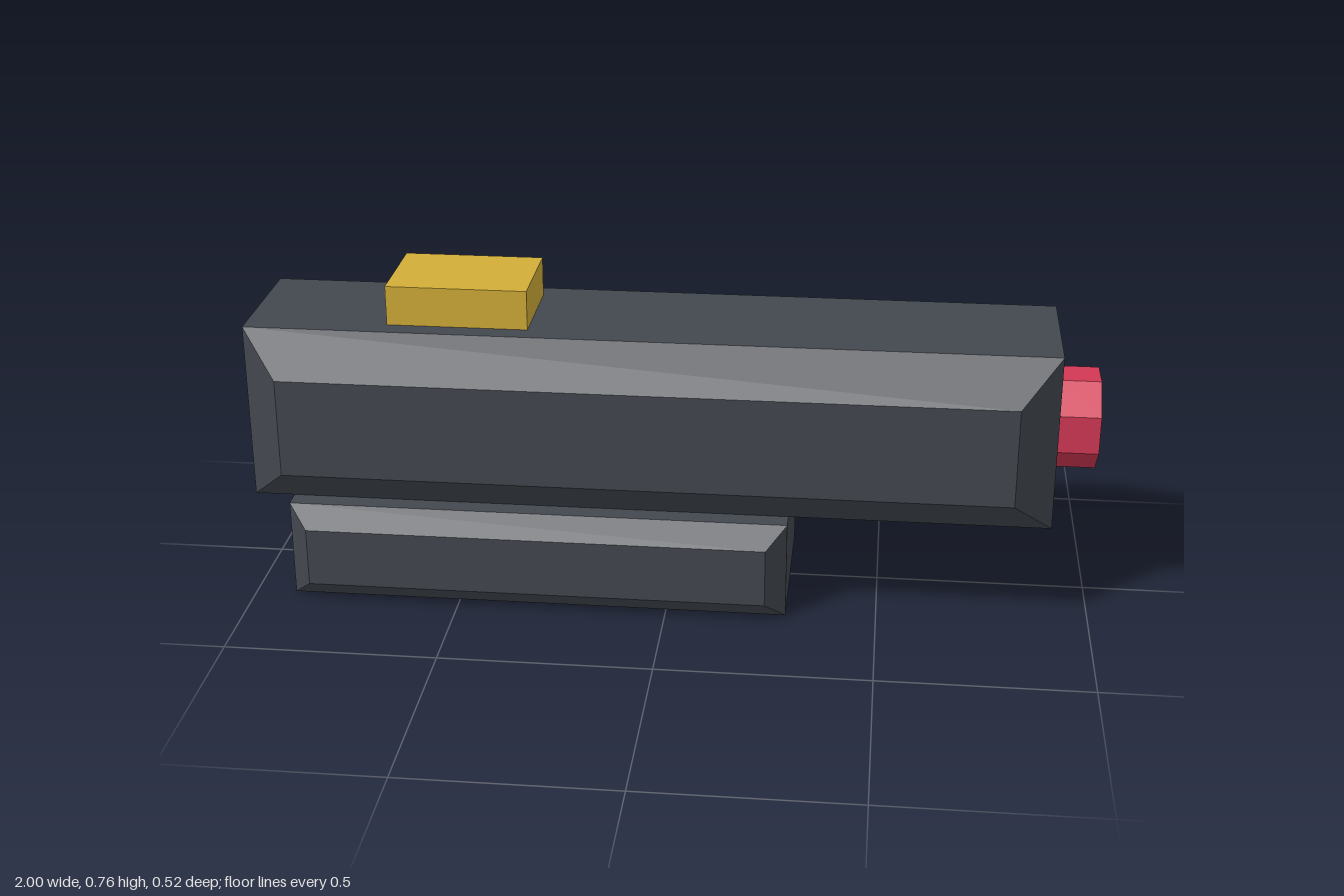
import * as THREE from 'three';

const slate = new THREE.MeshStandardMaterial({ name: 'slate', color: 0x43484f });
const gold = new THREE.MeshStandardMaterial({ name: 'gold', color: 0xd2ad38 });
const crimson = new THREE.MeshStandardMaterial({ name: 'crimson', color: 0xd33855 });

// Block whose front and back faces are chamfered on all four edges
function chamferedBlock(name, x0, x1, y0, y1, halfDepth, bevel) {
  const hw = (x1 - x0) / 2 - bevel;
  const hh = (y1 - y0) / 2 - bevel;
  const shape = new THREE.Shape([
    new THREE.Vector2(-hw, -hh),
    new THREE.Vector2(hw, -hh),
    new THREE.Vector2(hw, hh),
    new THREE.Vector2(-hw, hh),
  ]);
  const depth = 2 * (halfDepth - bevel);
  const geometry = new THREE.ExtrudeGeometry(shape, {
    depth, bevelEnabled: true, bevelSegments: 1, bevelSize: bevel, bevelThickness: bevel,
  });
  geometry.translate(0, 0, -depth / 2);
  const mesh = new THREE.Mesh(geometry, slate);
  mesh.name = name;
  mesh.position.set((x0 + x1) / 2, (y0 + y1) / 2, 0);
  return mesh;
}

export function createModel() {
  const model = new THREE.Group();
  model.name = 'model';

  // Long main body and the shorter block beneath it
  model.add(chamferedBlock('mainBody', -1, 0.9, 0.238, 0.667, 0.262, 0.095));
  model.add(chamferedBlock('lowerBlock', -0.905, 0.286, 0, 0.238, 0.262, 0.048));

  // Raised block on top
  const topBlock = new THREE.Mesh(new THREE.BoxGeometry(0.333, 0.095, 0.238), gold);
  topBlock.name = 'topBlock';
  topBlock.position.set(-0.5, 0.7145, 0);
  model.add(topBlock);

  // Octagonal end cap with a flat side up
  const capGeometry = new THREE.CylinderGeometry(0.119, 0.119, 0.1, 8, 1, false, Math.PI / 8).toNonIndexed();
  capGeometry.computeVertexNormals();
  const endCap = new THREE.Mesh(capGeometry, crimson);
  endCap.name = 'endCap';
  endCap.rotation.z = -Math.PI / 2;
  endCap.position.set(0.95, 0.453, 0);
  model.add(endCap);

  return model;
}
